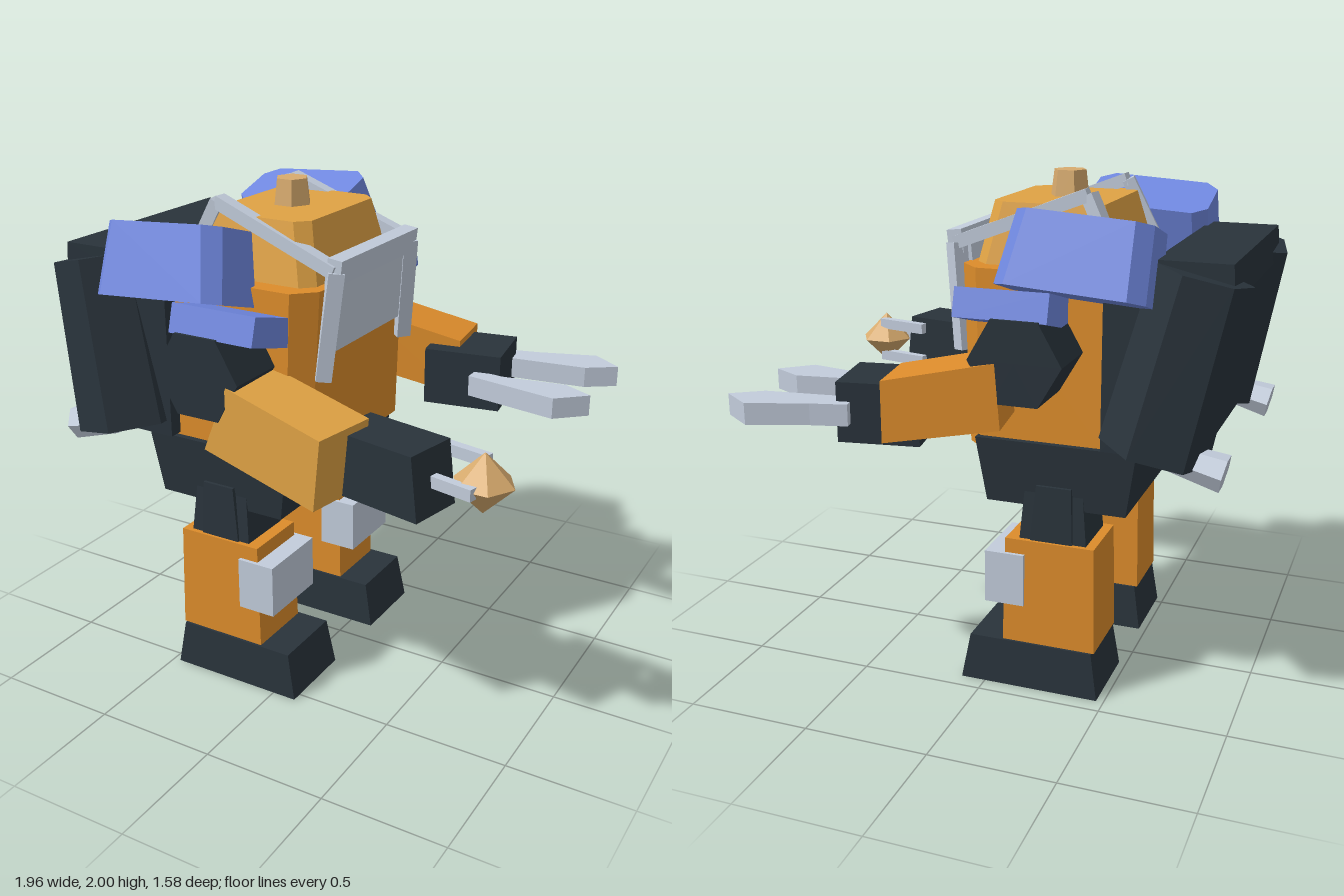
import * as THREE from 'three';
import { ConvexGeometry } from 'three/addons/geometries/ConvexGeometry.js';

const paint = (name, color) => {
  const m = new THREE.MeshStandardMaterial({ color });
  m.name = name;
  m.flatShading = true;
  return m;
};

// Corners of a rectangle [x0, x1, half depth] at height y, optionally cut
function ring(y, [x0, x1, h], back = 0, front = back) {
  const pts = [];
  for (const s of [-1, 1]) {
    for (const [x, d, c] of [[x0, 1, back], [x1, -1, front]]) {
      pts.push(new THREE.Vector3(x + d * c, y, s * h));
      if (c) pts.push(new THREE.Vector3(x, y, s * (h - c)));
    }
  }
  return pts;
}

const block = (y0, bottom, y1, top, back, front) =>
  new ConvexGeometry([...ring(y0, bottom, back, front), ...ring(y1, top, back, front)]);

// Convex side profile (x, y) with a half depth in z
const slab = (profile, h) => new ConvexGeometry(profile.flatMap(([x, y]) =>
  [new THREE.Vector3(x, y, -h), new THREE.Vector3(x, y, h)]));

export function createModel() {
  const root = new THREE.Group();
  root.name = 'walkerRobot';
  root.position.z = 0.055;

  const orange = paint('orange', 0xdc8c2b);
  const amber = paint('amber', 0xdfa244);
  const dark = paint('darkSteel', 0x29333b);
  const grey = paint('lightGrey', 0xc2ccdb);
  const blue = paint('blue', 0x7088e0);
  const tan = paint('tan', 0xd8ab6e);

  const add = (name, geo, mat, x = 0, y = 0, z = 0, rx = 0, ry = 0, rz = 0) => {
    const m = new THREE.Mesh(geo, mat);
    m.name = name;
    m.position.set(x, y, z);
    m.rotation.set(rx, ry, rz);
    root.add(m);
    return m;
  };
  const box = (w, h, d) => new THREE.BoxGeometry(w, h, d);
  // Straight bar between two points
  const bar = (name, a, b, w, h) => {
    const p = new THREE.Vector3(...a), q = new THREE.Vector3(...b);
    const m = add(name, box(w, h, p.distanceTo(q)), grey);
    m.position.copy(p).lerp(q, 0.5);
    m.lookAt(root.localToWorld(q));
  };

  // Body
  add('pelvis', block(0.76, [-0.55, 0.01, 0.42], 1.02, [-0.59, 0.05, 0.44]), dark);
  add('torso', new ConvexGeometry([
    ...ring(0.97, [-0.49, 0.105, 0.415], 0, 0.07),
    ...ring(1.61, [-0.478, 0.0, 0.405]),
    ...ring(1.67, [-0.35, 0.135, 0.405], 0, 0.08),
  ]), orange);
  add('cockpitRoof', block(1.6, [-0.47, 0.11, 0.34], 1.9, [-0.39, 0.045, 0.275], 0.05), amber);
  add('roofKnob', new THREE.CylinderGeometry(0.065, 0.083, 0.14, 6), tan, -0.18, 1.93, 0, 0, Math.PI / 6);

  // Windscreen with its crossbar
  add('windscreen', slab([[0.10, 1.42], [0.15, 1.42], [0.185, 1.76], [0.13, 1.76]], 0.27), grey);
  add('crossbar', box(0.06, 0.09, 0.6), grey, 0.18, 1.745, 0, 0, 0, -0.12);

  // Backpack
  add('backpack', slab([[-0.92, 1.755], [-0.64, 1.755], [-0.46, 1.6], [-0.46, 1.03],
    [-0.82, 1.03], [-0.93, 1.62]], 0.47), dark);

  for (const s of [-1, 1]) {
    // Leg
    const z = s * 0.322;
    add('foot', block(0, [-0.47, 0.1, 0.165], 0.19, [-0.44, 0.065, 0.152]), dark, 0, 0, z);
    add('shin', block(0.19, [-0.45, -0.07, 0.142], 0.625, [-0.44, -0.08, 0.136]), orange, 0, 0, z);
    add('kneePlate', box(0.16, 0.215, 0.305), grey, -0.08, 0.458, z);
    add('thigh', block(0.6, [-0.405, -0.13, 0.118], 0.85, [-0.38, -0.15, 0.1]), dark, 0, 0, z);
    add('hipJoint', block(0.6, [-0.35, -0.175, 0.125], 0.85, [-0.34, -0.2, 0.118]), dark, 0, 0, z);

    // Roll cage
    const back = [-0.46, 1.7, s * 0.29], peak = [-0.34, 1.94, s * 0.265];
    const corner = [0.18, 1.74, s * 0.285], foot = [0.14, 1.33, s * 0.315];
    bar('cageRearPost', back, peak, 0.055, 0.05);
    bar('cageRail', peak, corner, 0.055, 0.05);
    bar('cageFrontPost', corner, foot, 0.06, 0.06);

    // Shoulder armour, leaning inwards at the top
    add('shoulderPad', block(-0.14, [-0.275, 0.285, 0.165], 0.135, [-0.255, 0.25, 0.15], 0.055),
      blue, -0.39, 1.74, s * 0.465, -s * 0.3, 0, 0.07);
    add('lowerShoulderPlate', box(0.36, 0.11, 0.24), blue, -0.13, 1.555, s * 0.515, -s * 0.28);
    add('shoulderJoint', new THREE.CylinderGeometry(0.18, 0.18, 0.3, 6).rotateY(Math.PI / 6),
      dark, -0.19, 1.385, s * 0.505, Math.PI / 2);

    // Arm, turned slightly outwards
    if (s > 0) {
      add('upperArm', slab([[-0.16, 1.37], [0.28, 1.285], [0.25, 1.01], [-0.28, 1.1]], 0.135),
        amber, 0.12, 0, 0.55, 0, -0.17);
      add('forearm', slab([[-0.19, 1.255], [0.17, 1.255], [0.2, 1.015], [-0.19, 1.015]], 0.11),
        dark, 0.525, 0, 0.49, 0, -0.2);
    } else {
      add('upperArm', slab([[-0.16, 1.38], [0.27, 1.29], [0.27, 1.05], [-0.18, 1.13]], 0.13),
        orange, 0.06, 0, -0.55, 0, 0.14);
      add('forearm', box(0.32, 0.235, 0.29), dark, 0.365, 1.147, -0.535, 0, 0.16);
    }

    // Backpack pod, splayed out at the bottom, and its thruster
    add('backPod', new THREE.CylinderGeometry(0.18, 0.205, 0.67, 6).rotateY(s * 0.24),
      dark, -0.735, 1.378, s * 0.44, -s * 0.09, 0, 0.225);
    add('thruster', new THREE.CylinderGeometry(0.072, 0.055, 0.22, 6),
      grey, -0.82, 1.03, s * 0.48, 0, 0, Math.PI / 2 + 0.22);
  }

  // Left hand: pronged emitter
  for (const [y, z0, z1] of [[1.21, 0.385, 0.43], [1.06, 0.385, 0.43], [1.135, 0.51, 0.56]]) {
    bar('emitterProng', [0.64, y, z0], [0.87, y, z1], 0.035, 0.045);
  }
  add('emitterTip', new THREE.SphereGeometry(0.115, 6, 2).toNonIndexed(), tan, 0.865, 1.137, 0.46);

  // Right hand: two flat claws
  const claws = [
    [[0.44, -0.73], [0.58, -0.765], [0.81, -0.845], [0.935, -0.755], [0.82, -0.675], [0.46, -0.63]],
    [[0.44, -0.42], [0.56, -0.405], [0.82, -0.445], [0.945, -0.38], [0.83, -0.275], [0.44, -0.345]],
  ];
  for (const outline of claws) {
    const shape = new THREE.Shape(outline.map(([x, z]) => new THREE.Vector2(x, z)));
    const geo = new THREE.ExtrudeGeometry(shape, { depth: 0.085, bevelEnabled: false });
    add('claw', geo.rotateX(Math.PI / 2), grey, 0, 1.19, 0);
  }

  return root;
}
